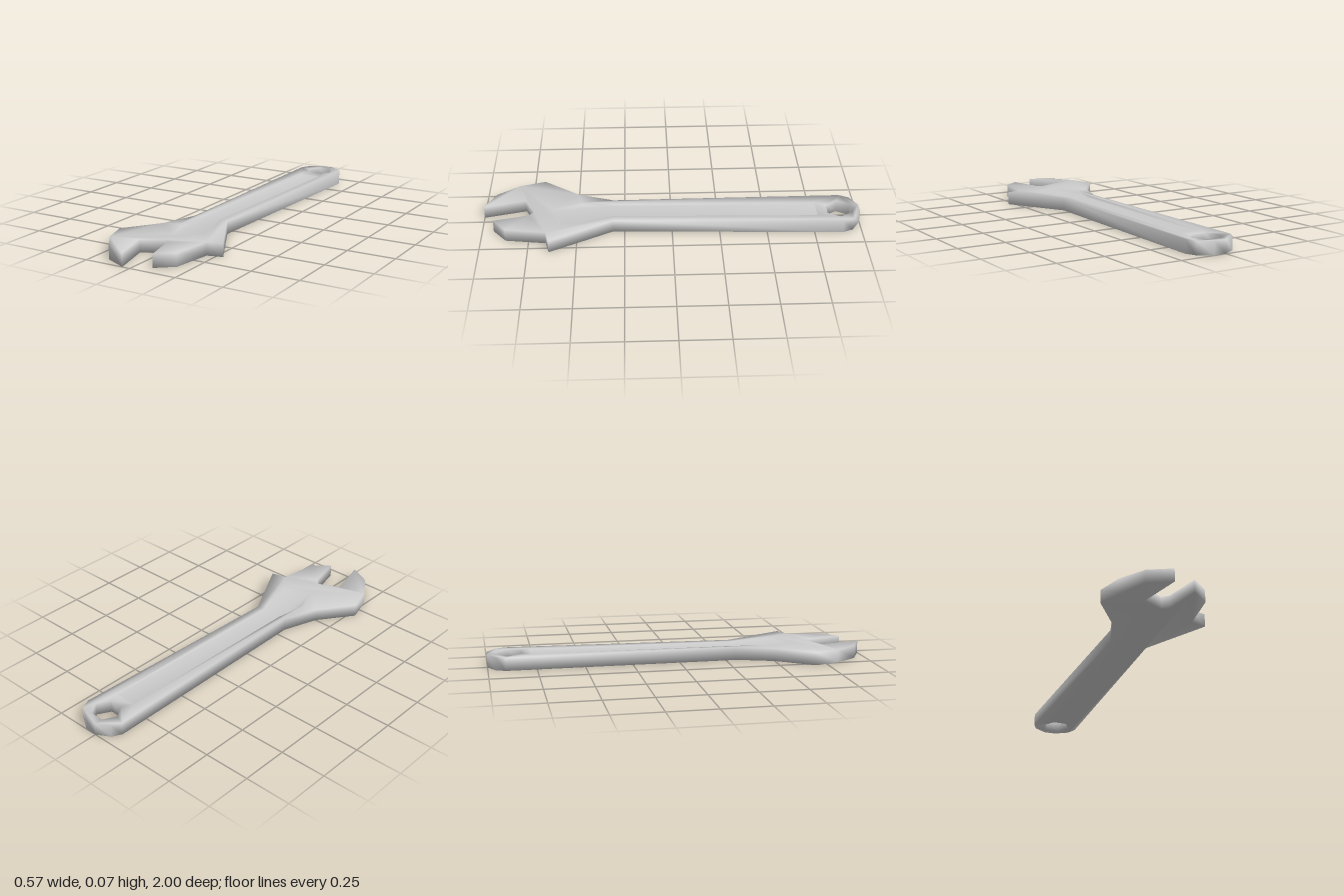
import * as THREE from 'three';
import { mergeGeometries, mergeVertices } from 'three/addons/utils/BufferGeometryUtils.js';

const HEIGHT = 0.068;
const RECESS_FLOOR = 0.055;

// Plan outlines as [x, z], clockwise seen from above
const BODY = [
  [0, -1], [0.065, -1], [0.135, -0.955], [0.158, -0.9], // rounded handle end
  [0.11, 0.31], [0.285, 0.64], [0.205, 0.66], // neck and spur
  [0.175, 0.87], [0.087, 0.94], [0.045, 0.755], // movable jaw
  [0.012, 0.728], [-0.097, 0.78], [-0.042, 1], // mouth
  [-0.162, 0.94], [-0.245, 0.82], [-0.285, 0.685], [-0.15, 0.5], // fixed jaw
  [-0.085, 0.31], [-0.095, -0.91], [-0.07, -0.96],
];
const HANG_HOLE = [
  [-0.005, -0.955], [0.07, -0.955], [0.113, -0.89],
  [0.075, -0.825], [0, -0.825], [-0.04, -0.89],
];
const RECESS = [
  [-0.03, -0.77], [0.095, -0.77], [0.067, 0.31], [0.14, 0.575],
  [-0.007, 0.635], [-0.07, 0.475], [-0.045, 0.31],
];

// Flat horizontal face at height y, facing up (side 1) or down (side -1)
function cap(outline, holes, y, side) {
  const points = (loop) => loop.map(([x, z]) => new THREE.Vector2(x, -side * z));
  const shape = new THREE.Shape(points(outline));
  shape.holes = holes.map((loop) => new THREE.Path(points(loop)));
  const geometry = new THREE.ShapeGeometry(shape).toNonIndexed();
  geometry.rotateX(-side * Math.PI / 2).translate(0, y, 0);
  geometry.deleteAttribute('uv');
  geometry.deleteAttribute('normal');
  return geometry;
}

// Vertical wall along a closed loop; clockwise loops face outward
function wall(loop, lo, hi) {
  const positions = [];
  loop.forEach(([ax, az], i) => {
    const [bx, bz] = loop[(i + 1) % loop.length];
    positions.push(ax, lo, az, ax, hi, az, bx, hi, bz);
    positions.push(ax, lo, az, bx, hi, bz, bx, lo, bz);
  });
  const geometry = new THREE.BufferGeometry();
  geometry.setAttribute('position', new THREE.Float32BufferAttribute(positions, 3));
  return geometry;
}

export function createModel() {
  const inward = (loop) => [...loop].reverse();

  const geometry = mergeVertices(mergeGeometries([
    cap(BODY, [HANG_HOLE, RECESS], HEIGHT, 1), // top with opening for the recess
    cap(BODY, [HANG_HOLE], 0, -1), // underside
    cap(RECESS, [], RECESS_FLOOR, 1), // recess floor
    wall(BODY, 0, HEIGHT),
    wall(inward(HANG_HOLE), 0, HEIGHT),
    wall(inward(RECESS), RECESS_FLOOR, HEIGHT),
  ]));
  geometry.computeVertexNormals(); // shared corners give soft shading

  const body = new THREE.Mesh(geometry, new THREE.MeshStandardMaterial({ color: 0xcccccc }));
  body.name = 'wrenchBody';

  const group = new THREE.Group();
  group.name = 'wrench';
  group.add(body);
  return group;
}
